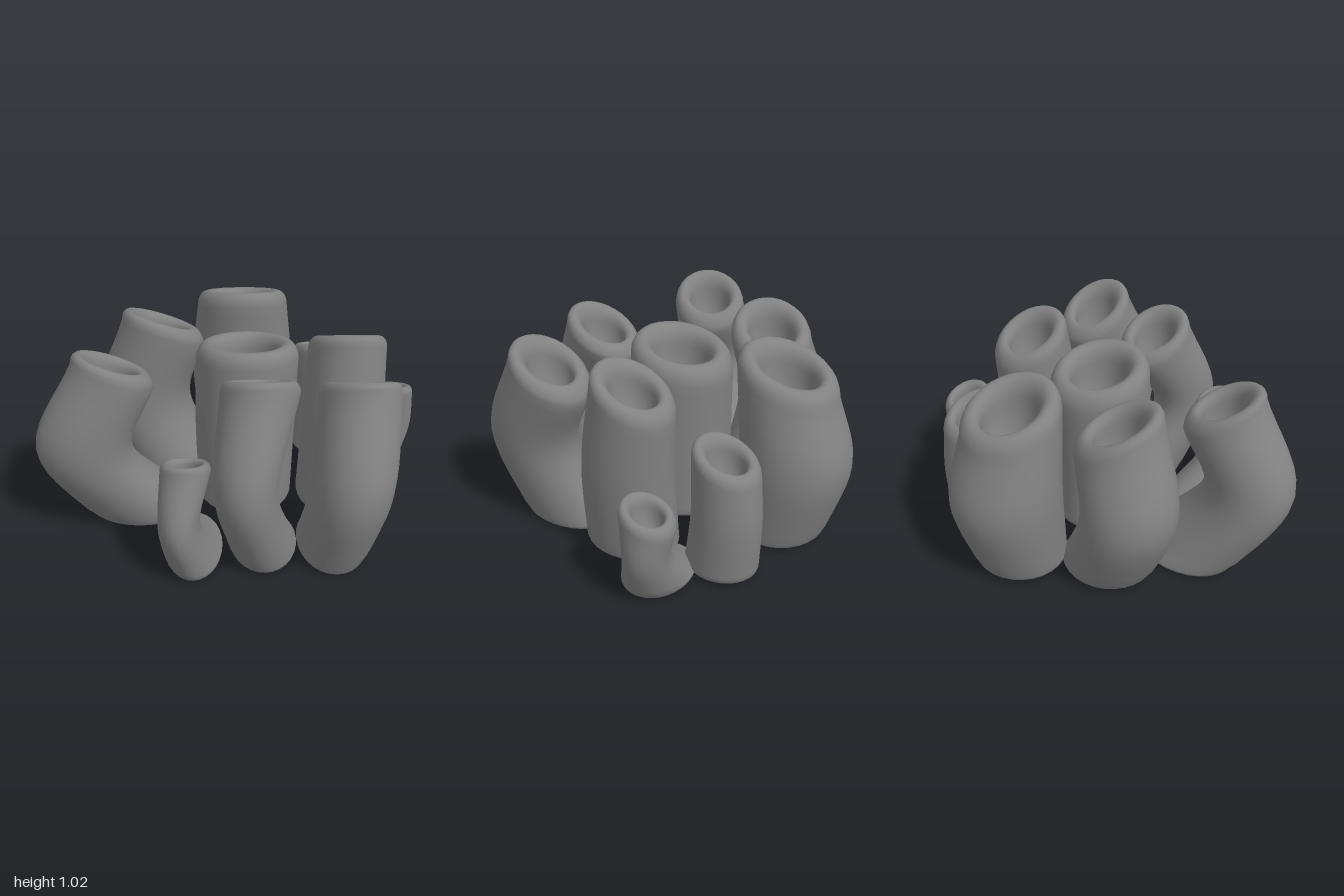
import * as THREE from 'three';

const SIDES = 28, WALL = 14, LIP = 8, HOLLOW = 7;

// Smooth tube through three sections: foot, bend and mouth.
// foot, bend, mouth: [x, z]; footSize: [radiusX, radiusZ]; girth: width at the bend against the mean width;
// slope: rise of the mouth along x and z
function tubeGeometry(foot, bend, mouth, height, footSize, mouthSize, girth, slope) {
  const footY = 0.02 - 0.02 * foot[1];
  const centre = new THREE.CatmullRomCurve3([
    new THREE.Vector3(foot[0], footY, foot[1]),
    new THREE.Vector3(bend[0], height * 0.54, bend[1]),
    new THREE.Vector3(mouth[0], height, mouth[1]),
  ], false, 'catmullrom', 0.5);
  const footRadius = new THREE.Vector3(...footSize, 0);
  const mouthRadius = new THREE.Vector3(mouthSize, mouthSize, 0);
  const bendRadius = footRadius.clone().add(mouthRadius).multiplyScalar(girth / 2);
  const radius = new THREE.CatmullRomCurve3([footRadius, bendRadius, mouthRadius], false, 'catmullrom', 0.5);
  const positions = [], index = [];
  let rings = 0;

  function ring(t, scale, lift) {
    const c = centre.getPoint(t), r = radius.getPoint(t), lean = t * t;
    for (let i = 0; i < SIDES; i++) {
      const a = (i / SIDES) * Math.PI * 2;
      const dx = Math.cos(a) * r.x * scale, dz = Math.sin(a) * r.y * scale;
      positions.push(c.x + dx, c.y + lift + lean * (dx * slope[0] + dz * slope[1]), c.z + dz);
    }
    rings++;
  }

  // Flat base with a small rounded edge (the repeated ring keeps it sharp)
  ring(0, 0, 0);
  ring(0, 0.93, 0);
  ring(0, 0.93, 0);
  ring(0, 0.98, 0.01);
  // Outer wall
  for (let k = 0; k <= WALL; k++) ring(k / WALL, 1, k === 0 ? 0.025 : 0);
  // Half-round lip
  for (let k = 1; k <= LIP; k++) {
    const a = (k / LIP) * Math.PI;
    ring(1, 0.78 + 0.22 * Math.cos(a), 0.34 * mouthSize * Math.sin(a));
  }
  // Hollow narrowing to a point
  for (let k = 1; k <= HOLLOW; k++) {
    const a = (k / HOLLOW) * Math.PI / 2;
    ring(1, 0.56 * Math.cos(a), -1.1 * mouthSize * Math.sin(a));
  }

  for (let k = 0; k < rings - 1; k++) {
    for (let i = 0; i < SIDES; i++) {
      const a = k * SIDES + i, b = k * SIDES + (i + 1) % SIDES;
      index.push(a, a + SIDES, b, b, a + SIDES, b + SIDES);
    }
  }
  const g = new THREE.BufferGeometry();
  g.setAttribute('position', new THREE.Float32BufferAttribute(positions, 3));
  g.setIndex(index);
  g.computeVertexNormals();
  return g;
}

export function createModel() {
  const model = new THREE.Group();
  model.name = 'tubeCluster';
  const material = new THREE.MeshStandardMaterial({ color: 0x828282 });
  const addTube = (name, ...shape) => {
    const mesh = new THREE.Mesh(tubeGeometry(...shape), material);
    mesh.name = name;
    model.add(mesh);
  };

  // Middle and back
  addTube('centreTube', [0.05, 0.05], [0.05, 0.06], [0.06, 0.05], 0.84, [0.25, 0.25], 0.26, 1.02, [0, 0.2]);
  addTube('backTube', [0.05, -0.53], [0.05, -0.6], [0.05, -0.54], 0.87, [0.25, 0.24], 0.25, 1.15, [0, 0.34]);
  addTube('backSmallTube', [0.5, -0.43], [0.51, -0.46], [0.5, -0.45], 0.61, [0.16, 0.19], 0.165, 0.98, [0, 0.42]);
  // Left side
  addTube('sideSmallTube', [0.71, -0.2], [0.868, -0.24], [0.86, -0.245], 0.46, [0.21, 0.17], 0.132, 0.74, [0, 0.36]);
  addTube('sideTube', [0.53, 0.07], [0.56, 0.06], [0.57, 0.01], 0.87, [0.2, 0.25], 0.2, 1.05, [0, 0.48]);
  // Front row
  addTube('frontOuterTube', [0.48, 0.5], [0.54, 0.65], [0.57, 0.49], 0.87, [0.18, 0.27], 0.195, 1.04, [0, 0.55]);
  addTube('frontTube', [0.13, 0.5], [0.035, 0.69], [0.105, 0.5], 0.89, [0.17, 0.25], 0.188, 0.85, [0, 0.5]);
  addTube('frontSmallTube', [-0.22, 0.54], [-0.28, 0.72], [-0.245, 0.64], 0.56, [0.145, 0.26], 0.12, 0.76, [0, 0.36]);
  // Bent tubes on the right side, mouths turned inward
  addTube('backBentTube', [-0.31, -0.23], [-0.49, -0.27], [-0.38, -0.24], 0.85, [0.25, 0.24], 0.215, 1.05, [-0.35, 0.3]);
  addTube('frontBentTube', [-0.5, 0.15], [-0.76, 0.3], [-0.6, 0.26], 0.86, [0.3, 0.23], 0.195, 0.98, [-0.38, 0.28]);
  return model;
}
